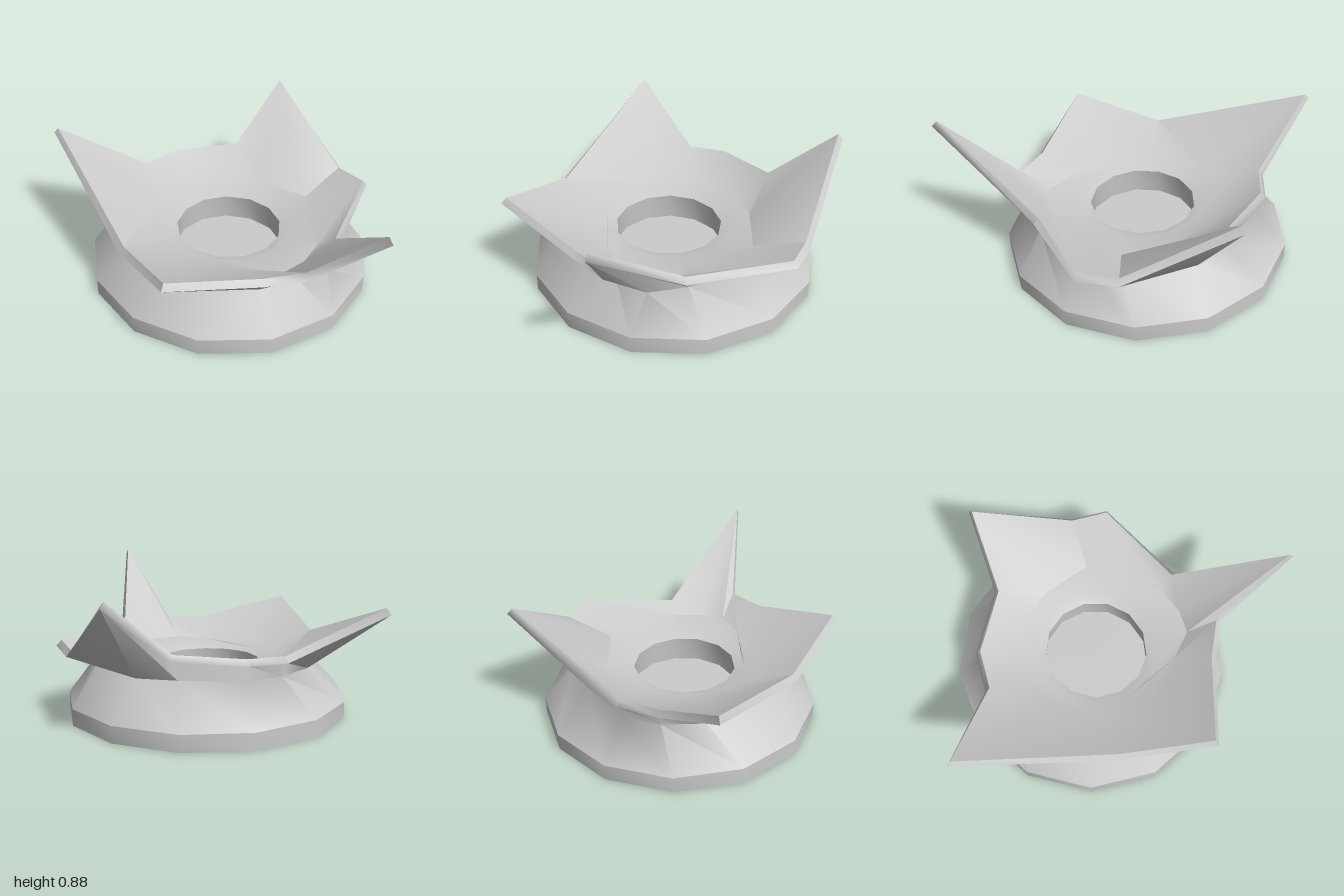
import * as THREE from 'three';
import { toCreasedNormals } from 'three/addons/utils/BufferGeometryUtils.js';

const CX = 0.135;

// Corners in order around the bowl:
// rim x, y, z, then waist angle (degrees), waist radius, bowl crease radius
const RIM = [
  [-1.00, 0.71, -0.31, 192, 0.67, 0.47], // spike
  [-0.46, 0.43, -0.41, 214, 0.67, 0.47],
  [-0.28, 0.44, -0.58, 235, 0.66, 0.47],
  [0.13, 0.46, -0.68, 268, 0.62, 0.47],
  [0.40, 0.79, -0.98, 289, 0.67, 0.49], // spike
  [0.83, 0.41, -0.51, 326, 0.67, 0.56],
  [0.98, 0.43, -0.33, 343, 0.68, 0.47],
  [0.80, 0.38, 0.25, 379, 0.68, 0.57],
  [1.00, 0.86, 0.87, 397, 0.74, 0.58], // spike
  [0.62, 0.425, 0.65, 412, 0.70, 0.58],
  [0.38, 0.425, 0.73, 431, 0.69, 0.49],
  [-0.14, 0.55, 0.97, 467, 0.69, 0.47], // low spike
  [-0.45, 0.41, 0.50, 503, 0.67, 0.47],
];
const SIDES = RIM.length;

const waistAngle = (j) => THREE.MathUtils.degToRad(RIM[j][3]);
const evenAngle = (j) => Math.PI + (j * Math.PI * 2) / SIDES;

// Horizontal cross-section; radius and angle follow a rule per corner
function ring(y, radius, angle, cz = 0) {
  return RIM.map((p, j) => {
    const r = radius(p), a = angle(j);
    return [CX + r * Math.cos(a), y, cz + r * Math.sin(a)];
  });
}

// Moves the rim corners inward and upward to give the lip its thickness
function rimRing(inward, lift) {
  return RIM.map(([x, y, z]) => {
    const a = Math.atan2(z, x - CX);
    return [x - inward * Math.cos(a), y + lift, z - inward * Math.sin(a)];
  });
}

// Skins a list of rings, each with the same number of corners
function loft(rings, crease) {
  const n = SIDES, index = [];
  for (let i = 0; i < rings.length - 1; i++) {
    for (let j = 0; j < n; j++) {
      const k = (j + 1) % n;
      const a = i * n + j, b = i * n + k, c = a + n, d = b + n;
      index.push(a, c, d, a, d, b);
    }
  }
  const geometry = new THREE.BufferGeometry();
  geometry.setAttribute('position', new THREE.Float32BufferAttribute(rings.flat(2), 3));
  geometry.setIndex(index);
  return toCreasedNormals(geometry, crease);
}

export function createModel() {
  const group = new THREE.Group();
  group.name = 'spikedBowl';
  const material = new THREE.MeshStandardMaterial({ color: 0xcccccc, side: THREE.DoubleSide });

  const add = (name, crease, rings) => {
    const mesh = new THREE.Mesh(loft(rings, crease), material);
    mesh.name = name;
    group.add(mesh);
  };

  const baseTop = ring(0.1, () => 0.855, evenAngle);
  const lipInner = rimRing(0.03, 0.02);
  const hole = ring(0.3, () => 0.317, evenAngle, 0.035);

  // Flat plinth with a closed bottom
  add('base', 0.8, [
    ring(0, () => 0, evenAngle),
    ring(0, () => 0.855, evenAngle),
    baseTop,
  ]);

  // Waisted outer wall flaring out to the spikes and over their thick lip
  add('outerWall', 1.3, [
    baseTop,
    ring(0.33, (p) => p[4], waistAngle),
    rimRing(0, -0.015),
    lipInner,
  ]);

  // Bowl surface descending to the central opening
  add('bowl', 0.5, [
    lipInner,
    ring(0.335, (p) => p[5], waistAngle, 0.035),
    ring(0.32, () => 0.38, evenAngle, 0.035),
    hole,
  ]);

  // Central well with its floor
  add('well', 0.5, [
    hole,
    ring(0.14, () => 0.33, evenAngle, 0.035),
    ring(0.14, () => 0, evenAngle, 0.035),
  ]);

  return group;
}
